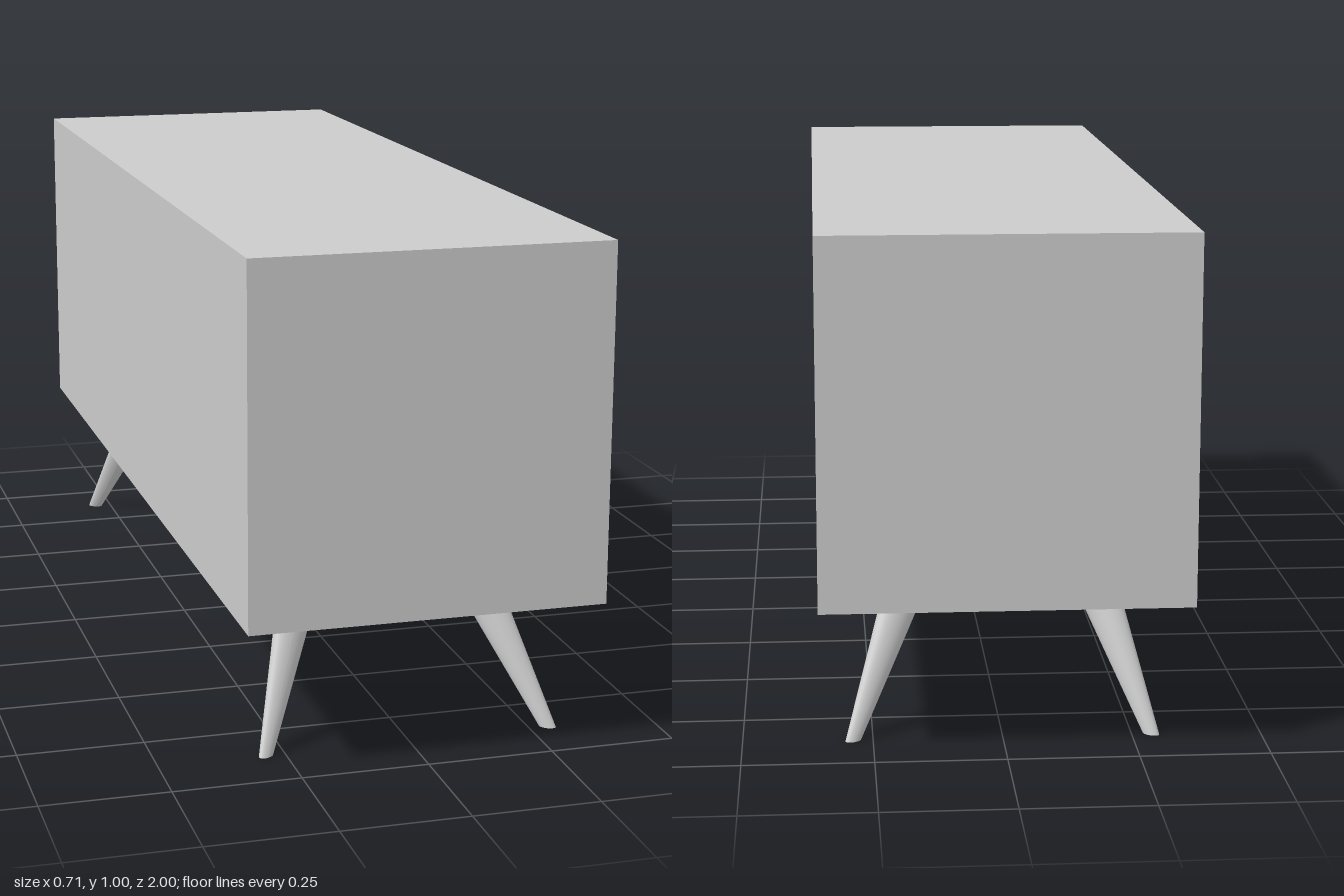
import * as THREE from 'three';

const WIDTH = 2, DEPTH = 0.706, BOTTOM = 0.29, TOP = 0.995, BACK = 0.04;
const material = new THREE.MeshStandardMaterial({ color: 0xcccccc });

function add(parent, name, geometry) {
  const mesh = new THREE.Mesh(geometry, material);
  mesh.name = name;
  parent.add(mesh);
  return mesh;
}

function rectangle(target, x0, y0, x1, y1) {
  target.moveTo(x0, y0);
  target.lineTo(x1, y0);
  target.lineTo(x1, y1);
  target.lineTo(x0, y1);
  target.closePath();
  return target;
}

// Carcass section with one wide opening above a row of eight cubbyholes
function carcassGeometry() {
  const shape = rectangle(new THREE.Shape(), -WIDTH / 2, BOTTOM, WIDTH / 2, TOP);
  shape.holes.push(rectangle(new THREE.Path(), -0.96, 0.543, 0.96, 0.955));
  const pitch = 0.2125, half = 0.095;
  for (let i = 0; i < 8; i++) {
    const c = (i - 3.5) * pitch;
    shape.holes.push(rectangle(new THREE.Path(), c - half, 0.347, c + half, 0.532));
  }
  const geometry = new THREE.ExtrudeGeometry(shape, { depth: DEPTH - BACK, bevelEnabled: false });
  geometry.rotateY(Math.PI / 2); // openings face +x
  geometry.translate(-DEPTH / 2 + BACK, 0, 0);
  return geometry;
}

// Splayed, tapered leg: oval sections elongated along the splay, cut level at both ends
function legGeometry(sx, sz) {
  const geometry = new THREE.CylinderGeometry(1, 1, 1, 32);
  const p = geometry.attributes.position;
  const skew = 0.4 * sx * sz, straight = Math.sqrt(1 - skew * skew);
  const topX = sx > 0 ? 0.172 : -0.183;
  for (let i = 0; i < p.count; i++) {
    const t = p.getY(i) + 0.5, u = p.getX(i), v = p.getZ(i);
    const rx = THREE.MathUtils.lerp(0.0153, 0.046, t);
    const rz = THREE.MathUtils.lerp(0.0135, 0.029, t);
    p.setXYZ(
      i,
      THREE.MathUtils.lerp(sx * 0.288, topX, t) + rx * u,
      BOTTOM * t,
      sz * THREE.MathUtils.lerp(0.877, 0.737, t) + rz * (skew * u + straight * v)
    );
  }
  geometry.computeVertexNormals();
  return geometry;
}

export function createModel() {
  const group = new THREE.Group();
  group.name = 'mediaCabinet';

  add(group, 'carcass', carcassGeometry());

  // Back panel closing all the compartments
  add(group, 'backPanel', new THREE.BoxGeometry(BACK, TOP - BOTTOM, WIDTH))
    .position.set(-DEPTH / 2 + BACK / 2, (TOP + BOTTOM) / 2, 0);

  // Four splayed legs
  for (const sx of [1, -1]) {
    for (const sz of [1, -1]) {
      add(group, (sx > 0 ? 'openSide' : 'backSide') + (sz > 0 ? 'FrontLeg' : 'RearLeg'), legGeometry(sx, sz));
    }
  }
  return group;
}
